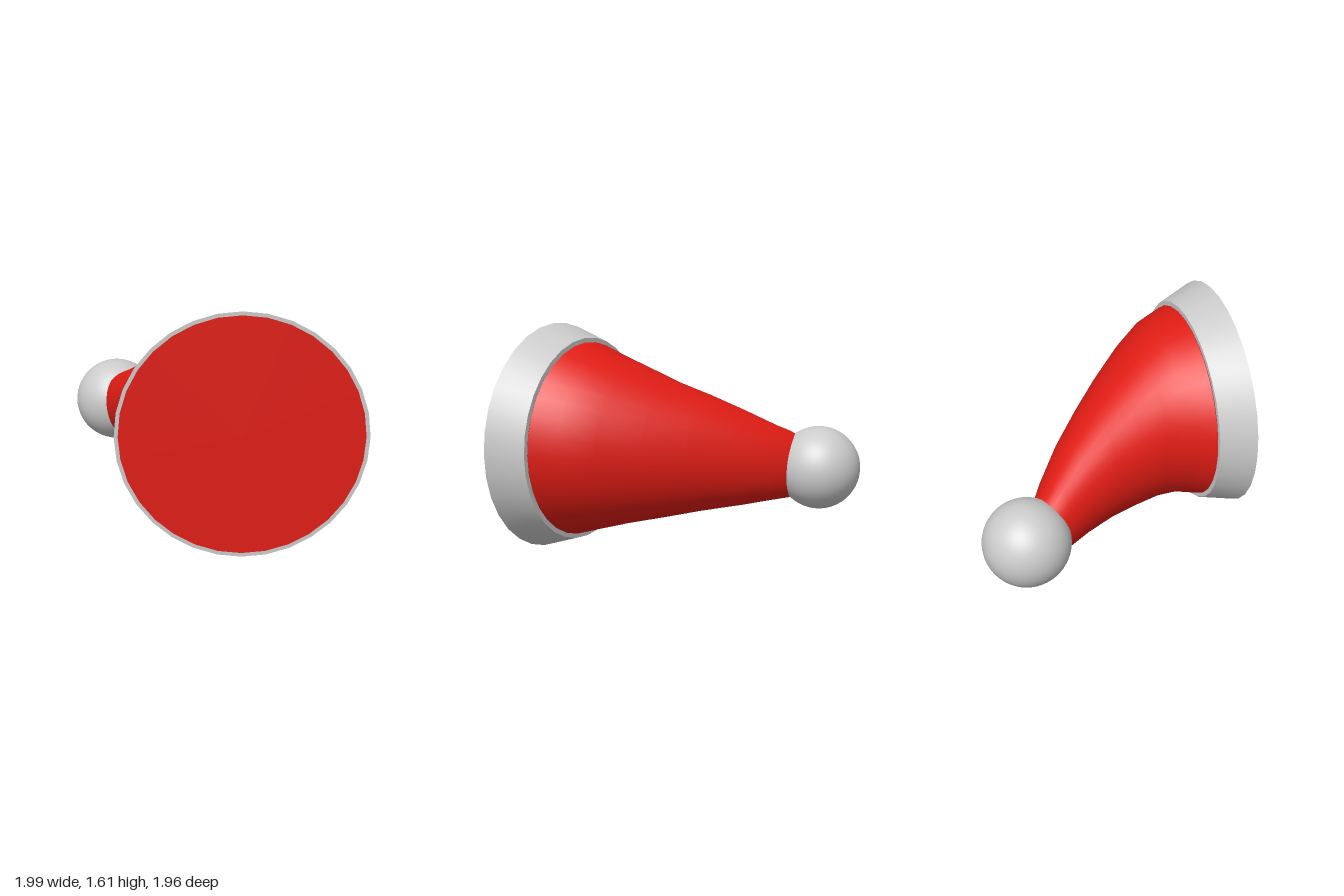
import * as THREE from 'three';

const SIDES = 32;

// Elliptical ring given its -x end, its +x end (each as [x, z]) and its y range
function ring([lx, lz], [rx, rz], y0, y1) {
  const points = [];
  for (let i = 0; i < SIDES; i++) {
    const a = (i / SIDES) * Math.PI * 2;
    const t = (1 + Math.cos(a)) / 2;
    points.push(lx + (rx - lx) * t, (y0 + y1) / 2 + ((y1 - y0) / 2) * Math.sin(a), lz + (rz - lz) * t);
  }
  return points;
}

// Round ring facing z
const circle = (x, y, z, r) => ring([x - r, z], [x + r, z], y - r, y + r);

// Smooth skin over successive rings, ordered from front to back
function loft(rings) {
  const index = [];
  for (let k = 0; k < rings.length - 1; k++) {
    for (let i = 0; i < SIDES; i++) {
      const j = (i + 1) % SIDES;
      const a = k * SIDES + i, b = k * SIDES + j;
      const c = a + SIDES, d = b + SIDES;
      index.push(a, c, b, b, c, d);
    }
  }
  const geometry = new THREE.BufferGeometry();
  geometry.setAttribute('position', new THREE.Float32BufferAttribute(rings.flat(), 3));
  geometry.setIndex(index);
  geometry.computeVertexNormals();
  return geometry;
}

export function createModel() {
  const model = new THREE.Group();
  model.name = 'pompomHat';
  const red = new THREE.MeshStandardMaterial({ color: 0xe01c14, side: THREE.DoubleSide });
  const grey = new THREE.MeshStandardMaterial({ color: 0xcccccc, side: THREE.DoubleSide });

  const add = (parent, name, geometry, material) => {
    const mesh = new THREE.Mesh(geometry, material);
    mesh.name = name;
    parent.add(mesh);
    return mesh;
  };

  // Tapering cap that bends sideways and ends inside the pompom
  add(model, 'cap', loft([
    ring([-0.52, 0.72], [0.85, 0.72], 0.12, 1.49),
    ring([-0.47, 0.53], [0.77, 0.53], 0.18, 1.42),
    ring([-0.48, 0.38], [0.62, 0.34], 0.225, 1.34),
    ring([-0.52, 0.2], [0.4, 0.11], 0.265, 1.23),
    ring([-0.58, 0], [0.17, -0.1], 0.305, 1.13),
    ring([-0.66, -0.2], [-0.08, -0.32], 0.335, 1.01),
    ring([-0.74, -0.36], [-0.31, -0.49], 0.36, 0.9),
    ring([-0.785, -0.45], [-0.43, -0.565], 0.37, 0.85),
    ring([-0.81, -0.55], [-0.54, -0.64], 0.42, 0.78),
  ]), red);

  // Flared brim: front rim, outer wall and back rim, with sharp edges between
  const brim = new THREE.Group();
  brim.name = 'brim';
  model.add(brim);
  const frontInner = circle(0.19, 0.81, 0.975, 0.778);
  const frontOuter = circle(0.19, 0.81, 0.975, 0.803);
  const backOuter = circle(0.165, 0.805, 0.725, 0.716);
  const backInner = circle(0.165, 0.805, 0.725, 0.68);
  add(brim, 'brimFront', loft([frontInner, frontOuter]), grey);
  add(brim, 'brimWall', loft([frontOuter, backOuter]), grey);
  add(brim, 'brimBack', loft([backOuter, backInner]), grey);

  // Flat disc closing the opening
  const disc = add(model, 'baseDisc', new THREE.CircleGeometry(0.778, SIDES), red);
  disc.position.set(0.19, 0.81, 0.975);

  // Pompom on the tip
  const pompom = add(model, 'pompom', new THREE.SphereGeometry(0.295, 40, 28), grey);
  pompom.position.set(-0.705, 0.59, -0.69);

  return model;
}
